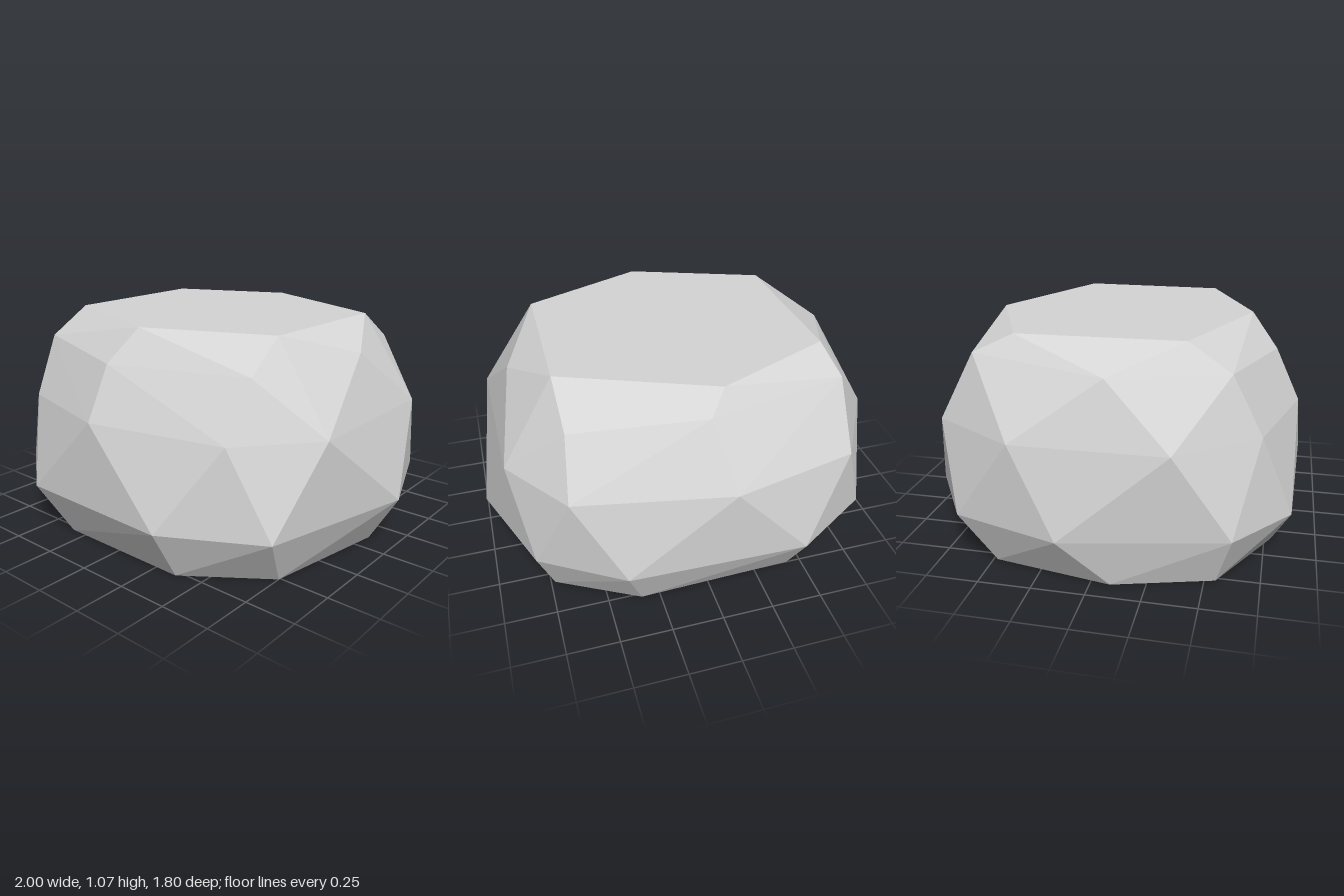
import * as THREE from 'three';
import { ConvexGeometry } from 'three/addons/geometries/ConvexGeometry.js';

// Turns a list of [x, z, optional y] into points at the ring's height
const ring = (height, corners) =>
  corners.map(([x, z, y = height]) => new THREE.Vector3(x, y, z));

export function createModel() {
  const group = new THREE.Group();
  group.name = 'boulder';

  const stone = new THREE.MeshStandardMaterial({ color: 0xd5d5d5 });
  stone.name = 'light grey stone';

  // Flat underside
  const base = ring(0, [
    [0.86, -0.11], [0.75, 0.51], [0.37, 0.78], [-0.34, 0.78], [-0.77, 0.55],
    [-0.9, 0.09], [-0.8, -0.48], [-0.43, -0.75], [0.34, -0.77], [0.73, -0.56],
  ]);

  // Widest part of the boulder
  const belly = ring(0.24, [
    [1, -0.12], [0.81, 0.65], [0.35, 0.9], [-0.5, 0.87, 0.23], [-0.84, 0.62],
    [-1, -0.13], [-0.84, -0.65], [-0.45, -0.89], [0.42, -0.87], [0.81, -0.63],
  ]);

  // Upper sides
  const shoulder = ring(0.655, [
    [0.9, 0.38], [0.61, 0.72], [-0.07, 0.87], [-0.63, 0.72], [-0.93, 0.36],
    [-0.94, -0.35], [-0.69, -0.76], [-0.08, -0.9], [0.65, -0.76], [0.89, -0.42],
  ]);

  // Bevel below the top
  const brow = ring(0.95, [
    [0.8, -0.03], [0.62, 0.56, 0.92], [-0.06, 0.75, 0.91], [-0.65, 0.58, 0.94],
    [-0.85, 0.06], [-0.68, -0.59, 0.98], [0, -0.73, 0.97], [0.62, -0.6, 0.92],
  ]);

  // Flat top
  const crown = ring(1.07, [
    [0.02, 0.62], [0.62, 0.37], [0.63, -0.36],
    [-0.08, -0.65], [-0.65, -0.4], [-0.63, 0.38],
  ]);

  const rock = new THREE.Mesh(
    new ConvexGeometry([...base, ...belly, ...shoulder, ...brow, ...crown]), stone);
  rock.name = 'facetedRock';
  group.add(rock);
  return group;
}
